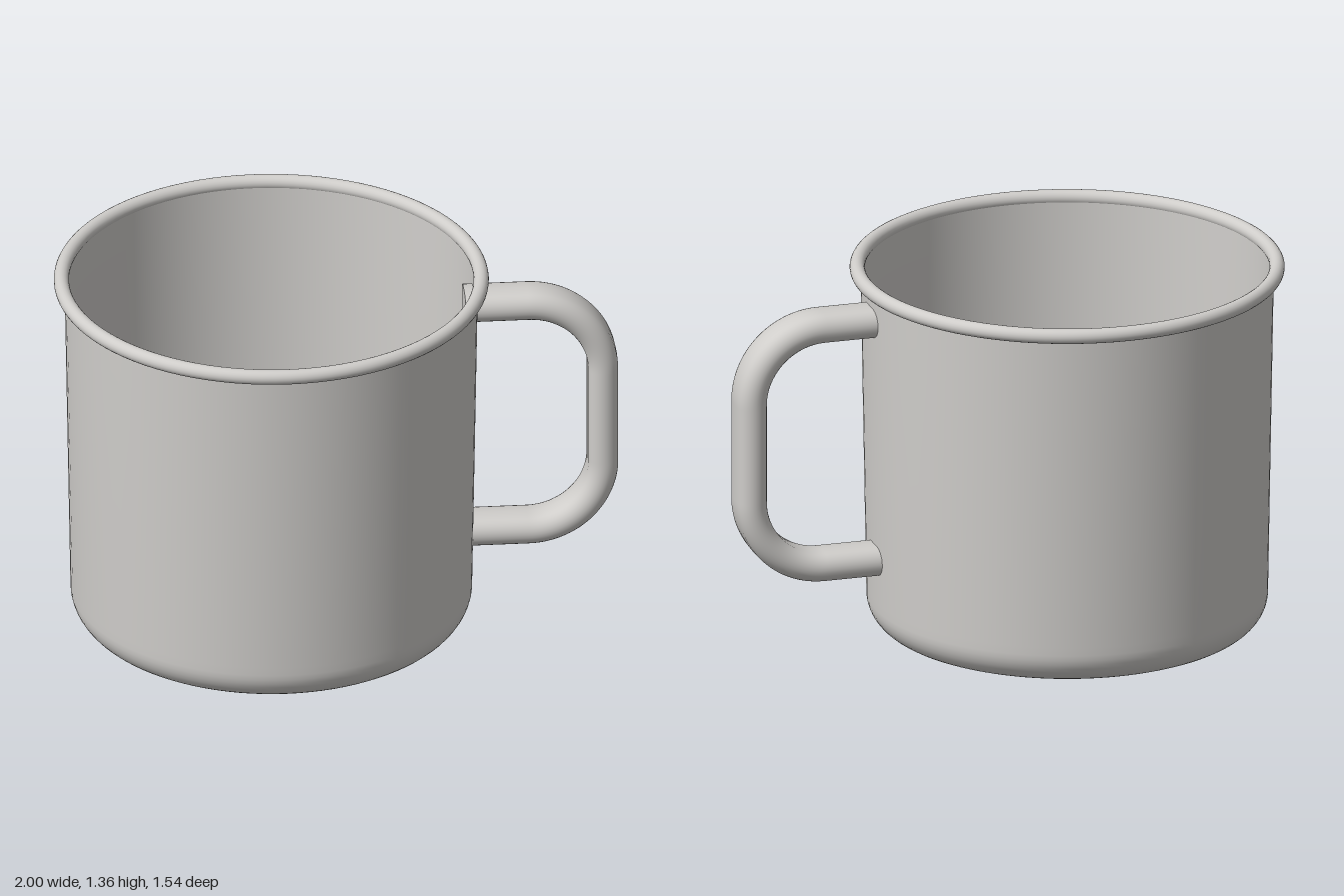
import * as THREE from 'three';

const CENTER_X = -0.23;
const GRIP_RADIUS = 0.054; // half thickness of the handle
const GRIP_FLAT = 0.031; // half length of the flat side of its section

const enamel = new THREE.MeshStandardMaterial({ color: 0xcfcdca });
enamel.name = 'light grey enamel';

function addMesh(parent, name, geometry) {
  const mesh = new THREE.Mesh(geometry, enamel);
  mesh.name = name;
  parent.add(mesh);
  return mesh;
}

// Rounded corner between floor and wall, with slightly flaring wall above
function wallProfile(inset) {
  const r = 0.12 - inset;
  const points = [[0, inset], [0.3, inset], [0.58, inset]];
  for (let i = 0; i <= 10; i++) {
    const a = (i / 10) * Math.PI / 2;
    points.push([0.591 + r * Math.sin(a), 0.12 - r * Math.cos(a)]);
  }
  points.push([0.7115 - inset, 0.15], [0.732 - inset, 1.33]);
  return points.map(([x, y]) => new THREE.Vector2(x, y));
}

// Straight top and bottom arms joined to the upright grip by round bends
function handlePath() {
  const start = 0.454, bend = 0.68, grip = 0.946, top = 1.206, bottom = 0.312;
  const r = grip - bend, k = r * 0.5523;
  const v = (x, y) => new THREE.Vector3(x, y, 0);
  const path = new THREE.CurvePath();
  path.add(new THREE.LineCurve3(v(start, top), v(bend, top)));
  path.add(new THREE.CubicBezierCurve3(v(bend, top), v(bend + k, top), v(grip, top - r + k), v(grip, top - r)));
  path.add(new THREE.LineCurve3(v(grip, top - r), v(grip, bottom + r)));
  path.add(new THREE.CubicBezierCurve3(v(grip, bottom + r), v(grip, bottom + r - k), v(bend + k, bottom), v(bend, bottom)));
  path.add(new THREE.LineCurve3(v(bend, bottom), v(start, bottom)));
  return path;
}

function createHandle() {
  const handle = new THREE.Group();
  handle.name = 'handle';
  const path = handlePath();

  // Round tube pulled apart sideways into a stadium section
  const tube = new THREE.TubeGeometry(path, 140, GRIP_RADIUS, 28, false);
  const pos = tube.attributes.position;
  for (let i = 0; i < pos.count; i++) {
    const z = pos.getZ(i);
    if (Math.abs(z) > 1e-5) pos.setZ(i, z + Math.sign(z) * GRIP_FLAT);
  }
  addMesh(handle, 'handleGrip', tube);

  // Flat ends that poke through the wall
  const section = new THREE.Shape();
  section.absarc(GRIP_FLAT, 0, GRIP_RADIUS, -Math.PI / 2, Math.PI / 2, false);
  section.absarc(-GRIP_FLAT, 0, GRIP_RADIUS, Math.PI / 2, Math.PI * 1.5, false);
  const cap = new THREE.ShapeGeometry(section, 14).rotateY(-Math.PI / 2);
  addMesh(handle, 'upperHandleEnd', cap).position.copy(path.getPoint(0));
  addMesh(handle, 'lowerHandleEnd', cap).position.copy(path.getPoint(1));
  return handle;
}

export function createModel() {
  const mug = new THREE.Group();
  mug.name = 'mug';

  // Thin-walled cup: outside going up, inside coming back down
  const profile = [...wallProfile(0), ...wallProfile(0.012).reverse()];
  addMesh(mug, 'cup', new THREE.LatheGeometry(profile, 96)).position.x = CENTER_X;

  // Rolled rim
  const rim = addMesh(mug, 'rim', new THREE.TorusGeometry(0.743, 0.027, 20, 96).rotateX(Math.PI / 2));
  rim.position.set(CENTER_X, 1.332, 0);

  mug.add(createHandle());
  return mug;
}
